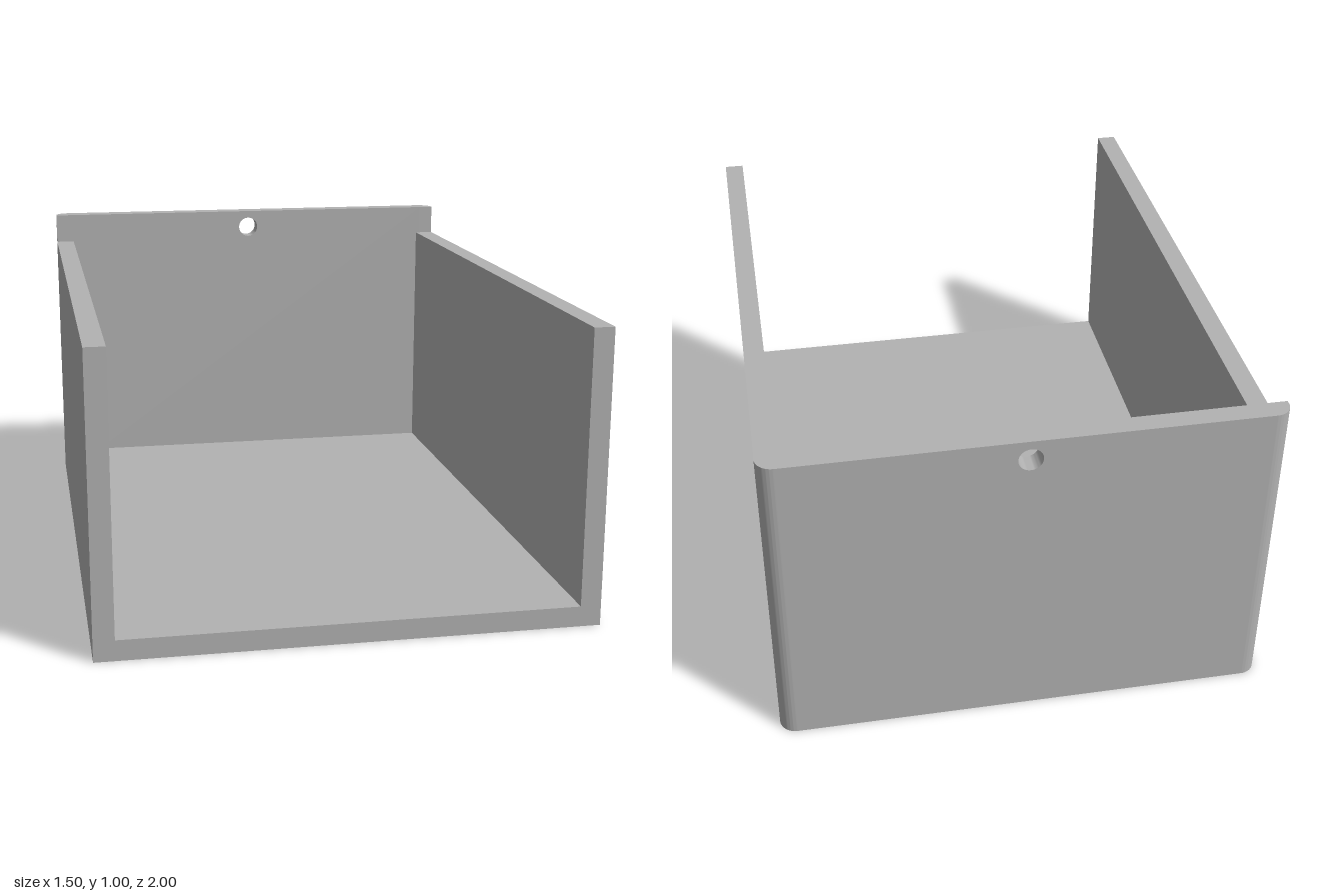
import * as THREE from 'three';
import { toCreasedNormals } from 'three/addons/utils/BufferGeometryUtils.js';

const W = 0.748;       // half width
const T = 0.0625;      // wall thickness
const WALL_H = 0.903;  // side wall height
const BACK_H = 1.005;  // back panel height
const R = 0.05;        // rounding of the rear vertical edges
const BACK_Z = -1 + T; // inner face of the back panel

export function createModel() {
  const group = new THREE.Group();
  const grey = new THREE.MeshStandardMaterial({ color: 0xb2b2b2 });
  grey.name = 'plain grey';

  const add = (name, geometry) => {
    const mesh = new THREE.Mesh(toCreasedNormals(geometry, 0.6), grey);
    mesh.name = name;
    group.add(mesh);
  };
  const extrude = (shape, depth) =>
    new THREE.ExtrudeGeometry(shape, { depth, bevelEnabled: false, curveSegments: 24 });

  // Floor and both side walls as one U-shaped channel, open at the front
  const channel = new THREE.Shape([
    [-W, 0], [W, 0], [W, WALL_H], [W - T, WALL_H],
    [W - T, T], [-W + T, T], [-W + T, WALL_H], [-W, WALL_H],
  ].map(([x, y]) => new THREE.Vector2(x, y)));
  add('floorAndSideWalls', extrude(channel, 1 - BACK_Z).translate(0, 0, BACK_Z));

  // Back panel with a round hanging hole
  const xm = W - R;
  const panel = new THREE.Shape([
    new THREE.Vector2(-xm, 0), new THREE.Vector2(xm, 0),
    new THREE.Vector2(xm, BACK_H), new THREE.Vector2(-xm, BACK_H),
  ]);
  panel.holes.push(new THREE.Path().absarc(0, 0.943, 0.036, 0, Math.PI * 2, true));
  add('backPanel', extrude(panel, T).translate(0, 0, -1));

  // Rounded ends of the back panel, extruded upward from their footprint
  for (const [name, s] of [['leftBackEdge', 1], ['rightBackEdge', -1]]) {
    const foot = new THREE.Shape();
    foot.moveTo(s * xm, -BACK_Z);
    foot.lineTo(s * W, -BACK_Z);
    foot.lineTo(s * W, 1 - R);
    foot.absarc(s * xm, 1 - R, R, s > 0 ? 0 : Math.PI, Math.PI / 2, s < 0);
    foot.closePath();
    add(name, extrude(foot, BACK_H).rotateX(-Math.PI / 2));
  }

  return group;
}
